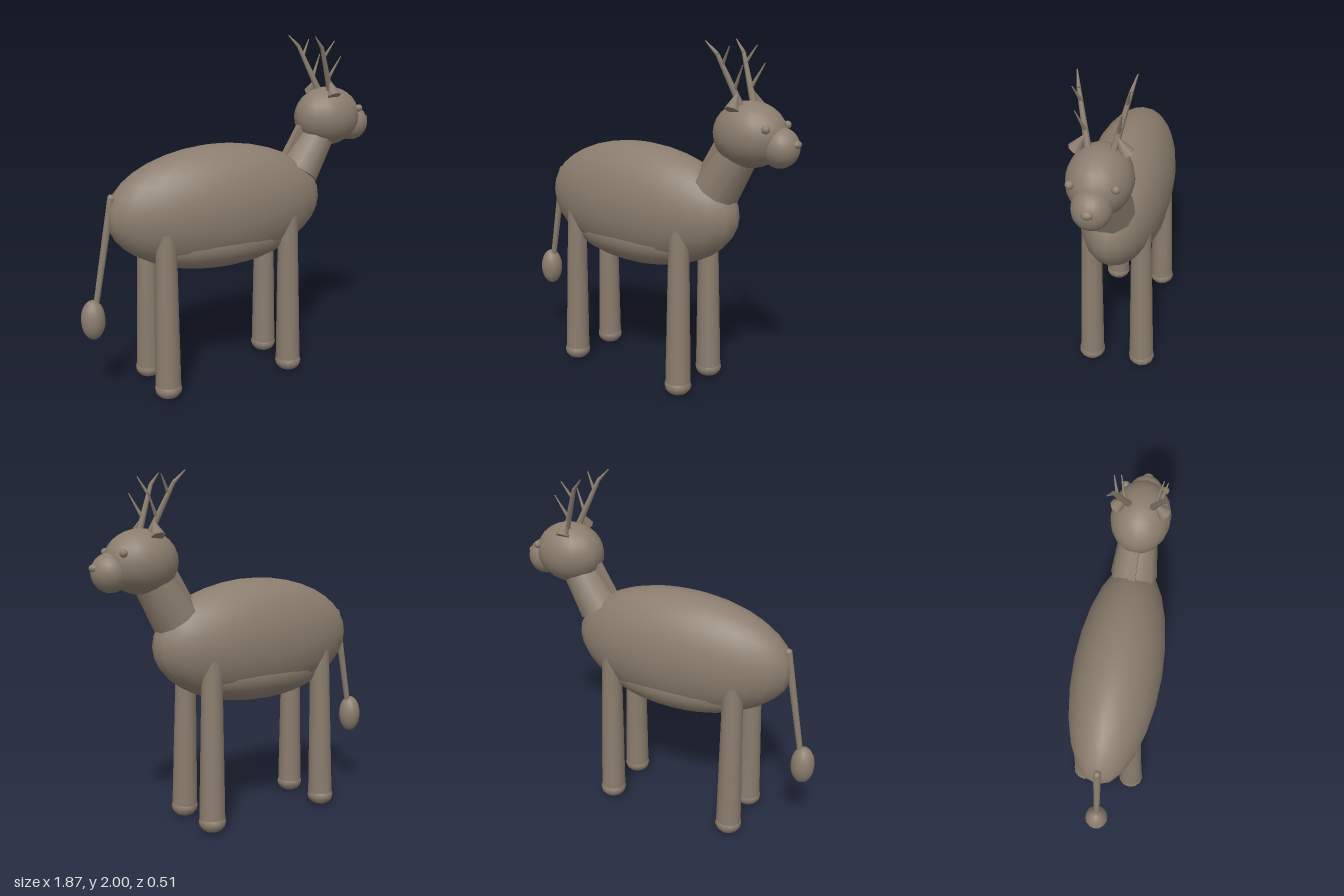
import * as THREE from 'three';

const hide = new THREE.MeshStandardMaterial({ color: 0x8b7d6e });
hide.name = 'taupe hide';

const UP = new THREE.Vector3(0, 1, 0);

function add(parent, name, geometry) {
  const mesh = new THREE.Mesh(geometry, hide);
  mesh.name = name;
  parent.add(mesh);
  return mesh;
}

// Ellipsoid with centre and radii given as [x, y, z]
function ellipsoid(parent, name, centre, radii, w = 16, h = 12) {
  const mesh = add(parent, name, new THREE.SphereGeometry(1, w, h));
  mesh.position.set(...centre);
  mesh.scale.set(...radii);
  return mesh;
}

// Tapered rod running from point a to point b
function rod(parent, name, a, b, ra, rb, sides = 8) {
  const from = new THREE.Vector3(...a);
  const dir = new THREE.Vector3(...b).sub(from);
  const mesh = add(parent, name, new THREE.CylinderGeometry(rb, ra, dir.length(), sides));
  mesh.position.copy(from).addScaledVector(dir, 0.5);
  mesh.quaternion.setFromUnitVectors(UP, dir.normalize());
  return mesh;
}

function createLeg(x, side) {
  const leg = new THREE.Group();
  leg.name = (x > 0 ? 'front' : 'hind') + 'Leg';
  rod(leg, 'legShaft', [x, 0.07, side * 0.154], [x - Math.sign(x) * 0.012, 0.99, side * 0.142], 0.074, 0.057, 12);
  ellipsoid(leg, 'hoof', [x, 0.06, side * 0.155], [0.079, 0.06, 0.079], 12, 8);
  return leg;
}

function createAntler(side) {
  const antler = new THREE.Group();
  antler.name = 'antler';
  const base = [0.62, 1.66, side * 0.058];
  const fork = [0.505, 1.935, side * 0.125];
  rod(antler, 'mainBeam', base, fork, 0.019, 0.011, 6);
  rod(antler, 'upperTine', fork, [0.445, 2.0, side * 0.145], 0.011, 0.003, 6);
  rod(antler, 'lowerTine', [0.582, 1.755, side * 0.08], [0.647, 1.885, side * 0.11], 0.011, 0.003, 6);
  rod(antler, 'middleTine', [0.528, 1.88, side * 0.11], [0.582, 1.975, side * 0.135], 0.01, 0.003, 6);
  return antler;
}

export function createModel() {
  const model = new THREE.Group();
  model.name = 'deer';

  // Trunk and the slightly fuller belly below it
  ellipsoid(model, 'body', [-0.1, 1.055, 0], [0.67, 0.36, 0.257], 24, 18);
  ellipsoid(model, 'belly', [-0.1, 0.87, 0], [0.5, 0.172, 0.225], 24, 14);

  // Neck with a narrow mane strip along its back
  rod(model, 'neck', [0.437, 1.213, 0], [0.6, 1.46, 0], 0.135, 0.102, 10);
  const mane = add(model, 'mane', new THREE.BoxGeometry(0.05, 0.32, 0.04));
  mane.position.set(0.405, 1.385, 0);
  mane.rotation.z = -0.54;

  // Head and muzzle
  ellipsoid(model, 'head', [0.635, 1.527, 0], [0.207, 0.175, 0.167], 18, 14);
  ellipsoid(model, 'muzzle', [0.815, 1.475, 0], [0.102, 0.105, 0.1], 18, 14);
  ellipsoid(model, 'nose', [0.906, 1.5, 0], [0.025, 0.022, 0.031], 10, 8);

  // Paired parts
  for (const side of [1, -1]) {
    ellipsoid(model, 'eye', [0.79, 1.577, side * 0.11], [0.022, 0.022, 0.022], 10, 8);
    rod(model, 'ear', [0.6, 1.66, side * 0.127], [0.6, 1.738, side * 0.08], 0.04, 0.006, 8);
    model.add(createAntler(side));
    model.add(createLeg(0.3, side), createLeg(-0.495, side));
  }

  // Tail with a tuft at its end
  ellipsoid(model, 'tailRoot', [-0.738, 1.17, 0], [0.022, 0.022, 0.022], 10, 8);
  rod(model, 'tail', [-0.738, 1.17, 0], [-0.852, 0.56, 0], 0.022, 0.017, 8);
  ellipsoid(model, 'tailTuft', [-0.87, 0.493, 0], [0.068, 0.114, 0.068], 14, 12);

  return model;
}
